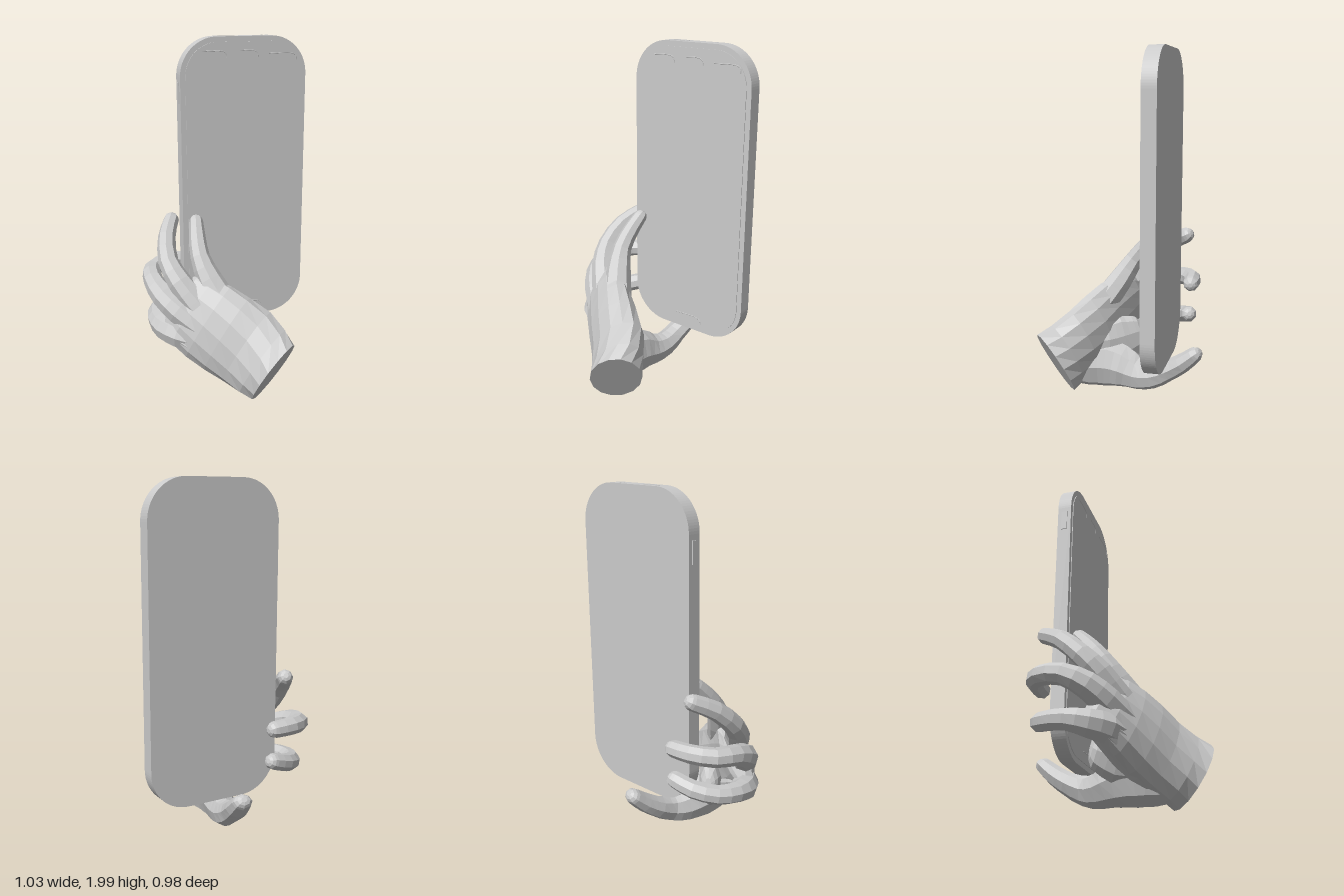
import * as THREE from 'three';

const material = new THREE.MeshStandardMaterial({ color: 0xcccccc, flatShading: true });
const smooth = new THREE.MeshStandardMaterial({ color: 0xcccccc });
const V = (p) => new THREE.Vector3(...p);

function add(group, name, geometry, mat = material) {
  const mesh = new THREE.Mesh(geometry, mat);
  mesh.name = name;
  group.add(mesh);
  return mesh;
}

// Skin over a list of closed rings, with both ends capped
function loft(rings) {
  const n = rings[0].length;
  const pos = [], index = [];
  rings.forEach((r) => r.forEach((p) => pos.push(p.x, p.y, p.z)));
  for (let i = 0; i < rings.length - 1; i++) {
    for (let j = 0; j < n; j++) {
      const a = i * n + j, b = i * n + (j + 1) % n;
      index.push(a, b, b + n, a, b + n, a + n);
    }
  }
  const cap = (row, flip) => {
    const c = new THREE.Vector3();
    rings[row].forEach((p) => c.addScaledVector(p, 1 / n));
    const k = pos.length / 3;
    pos.push(c.x, c.y, c.z);
    for (let j = 0; j < n; j++) {
      const a = row * n + j, b = row * n + (j + 1) % n;
      index.push(k, flip ? b : a, flip ? a : b);
    }
  };
  cap(0, true);
  cap(rings.length - 1, false);
  const g = new THREE.BufferGeometry();
  g.setAttribute('position', new THREE.Float32BufferAttribute(pos, 3));
  g.setIndex(index);
  g.computeVertexNormals();
  return g;
}

// Ring around centre c spanned by two half axes
function ring(c, u, v, sides) {
  return Array.from({ length: sides }, (_, j) => {
    const a = (j / sides) * Math.PI * 2;
    return c.clone().addScaledVector(u, Math.cos(a)).addScaledVector(v, Math.sin(a));
  });
}

// Tapered limb along joints [x, y, z, upward radius, sideways radius] with a rounded tip
function digit(joints, sides = 8) {
  const curve = new THREE.CatmullRomCurve3(joints.map((p) => V(p.slice(0, 3))));
  const last = joints.length - 1, steps = last * 2;
  const ref = new THREE.Vector3(0, 1, 0);
  const rings = [];
  const put = (c, t, ru, rv) => {
    const u = ref.clone().addScaledVector(t, -ref.dot(t)).normalize();
    const v = t.clone().cross(u);
    ref.copy(u);
    rings.push(ring(c, u.multiplyScalar(ru), v.multiplyScalar(rv), sides));
  };
  const radii = joints.map(([, , , ru, rv = ru]) => [ru, rv]);
  for (let i = 0; i <= steps; i++) {
    const k = Math.min(last - 1, Math.floor(i / 2)), f = i / 2 - k;
    const [ru, rv] = [0, 1].map((m) => THREE.MathUtils.lerp(radii[k][m], radii[k + 1][m], f));
    put(curve.getPoint(i / steps), curve.getTangent(i / steps), ru, rv);
  }
  const [ru, rv] = radii[last], end = curve.getPoint(1), dir = curve.getTangent(1);
  for (const [offset, s] of [[0.4, 0.9], [0.75, 0.65], [0.92, 0.3]]) {
    put(end.clone().addScaledVector(dir, Math.min(ru, rv) * offset), dir, ru * s, rv * s);
  }
  return loft(rings);
}

// Rounded rectangle slab in the xy plane
function slab(w, h, radius, depth) {
  const x = w / 2, y = h / 2, s = new THREE.Shape();
  s.absarc(x - radius, y - radius, radius, 0, Math.PI / 2);
  s.absarc(-x + radius, y - radius, radius, Math.PI / 2, Math.PI);
  s.absarc(-x + radius, -y + radius, radius, Math.PI, Math.PI * 1.5);
  s.absarc(x - radius, -y + radius, radius, Math.PI * 1.5, Math.PI * 2);
  return new THREE.ExtrudeGeometry(s, { depth, bevelEnabled: false, curveSegments: 12 });
}

function createPhone() {
  const phone = new THREE.Group();
  phone.name = 'phone';
  add(phone, 'phoneBody', slab(0.77, 1.72, 0.22, 0.08), smooth).position.set(0.13, 1.14, -0.31);
  add(phone, 'screen', slab(0.71, 1.66, 0.19, 0.004), smooth).position.set(0.13, 1.14, -0.23);
  // Slot and round socket on the top edge
  const slot = add(phone, 'topSlot', slab(0.11, 0.012, 0.005, 0.003), smooth);
  slot.rotation.x = -Math.PI / 2;
  slot.position.set(0.035, 1.999, -0.27);
  const socket = add(phone, 'topSocket', new THREE.TorusGeometry(0.012, 0.003, 6, 16), smooth);
  socket.rotation.x = Math.PI / 2;
  socket.position.set(0.25, 1.999, -0.275);
  // Key on the narrow side
  add(phone, 'sideKey', new THREE.BoxGeometry(0.008, 0.12, 0.035), smooth).position.set(-0.256, 1.69, -0.27);
  // Fine hooked ridges on the screen: left end, right end, height
  for (const [x0, x1, y] of [[-0.13, 0.02, 1.92], [0.1, 0.21, 1.92], [0.28, 0.45, 1.9], [0.06, 0.24, 0.37]]) {
    const path = new THREE.CatmullRomCurve3([
      V([x0, y, -0.226]), V([x1 - 0.03, y, -0.226]), V([x1 - 0.005, y - 0.012, -0.226]), V([x1, y - 0.04, -0.226])]);
    add(phone, 'screenRidge', new THREE.TubeGeometry(path, 12, 0.003, 5), smooth);
  }
  return phone;
}

function createHand() {
  const hand = new THREE.Group();
  hand.name = 'hand';

  // Wrist to knuckles: centre, half width axis, half thickness axis
  const sections = [
    [[0.08, 0.19, 0.375], [0.035, 0.175, 0.1], [0.13, 0.05, -0.07]],
    [[0.04, 0.235, 0.315], [0.07, 0.19, 0.075], [0.13, 0.045, -0.08]],
    [[-0.025, 0.3, 0.235], [0.09, 0.205, 0.06], [0.125, 0.04, -0.085]],
    [[-0.12, 0.365, 0.165], [0.1, 0.215, 0.055], [0.105, 0.03, -0.09]],
    [[-0.21, 0.43, 0.105], [0.11, 0.21, 0.045], [0.088, 0.025, -0.08]],
    [[-0.285, 0.485, 0.045], [0.115, 0.19, 0.04], [0.075, 0.02, -0.07]],
    [[-0.335, 0.53, -0.015], [0.105, 0.165, 0.035], [0.06, 0.015, -0.05]],
    [[-0.345, 0.54, -0.035], [0.08, 0.13, 0.025], [0.035, 0.01, -0.03]],
  ];
  add(hand, 'palm', loft(sections.map(([c, u, v]) => ring(V(c), V(u), V(v), 14))));

  const digits = {
    indexFinger: [[-0.07, 0.45, 0.19, 0.075], [-0.125, 0.55, 0.115, 0.083], [-0.18, 0.66, 0.04, 0.074],
      [-0.213, 0.78, -0.035, 0.056], [-0.205, 0.88, -0.115, 0.048], [-0.19, 0.948, -0.18, 0.041]],
    middleFinger: [[-0.19, 0.44, 0.14, 0.075], [-0.27, 0.54, 0.06, 0.08], [-0.345, 0.65, -0.01, 0.07],
      [-0.385, 0.75, -0.1, 0.058], [-0.36, 0.86, -0.22, 0.052], [-0.3, 0.925, -0.335, 0.046]],
    ringFinger: [[-0.25, 0.4, 0.12, 0.075], [-0.36, 0.49, 0.03, 0.08], [-0.43, 0.56, -0.05, 0.072],
      [-0.462, 0.62, -0.17, 0.058], [-0.43, 0.64, -0.3, 0.054], [-0.32, 0.652, -0.372, 0.051],
      [-0.205, 0.65, -0.38, 0.047]],
    littleFinger: [[-0.25, 0.32, 0.1, 0.075], [-0.36, 0.35, 0.035, 0.085], [-0.425, 0.365, -0.045, 0.075],
      [-0.45, 0.385, -0.15, 0.058], [-0.41, 0.4, -0.26, 0.053], [-0.31, 0.43, -0.342, 0.051],
      [-0.205, 0.463, -0.37, 0.047]],
    thumb: [[0.01, 0.17, 0.3, 0.12, 0.09], [-0.035, 0.17, 0.2, 0.145, 0.105], [-0.055, 0.17, 0.1, 0.15, 0.105],
      [-0.055, 0.155, 0, 0.132, 0.105], [-0.03, 0.13, -0.1, 0.1, 0.085], [-0.002, 0.137, -0.19, 0.08, 0.07],
      [0.01, 0.18, -0.285, 0.063, 0.068], [0.032, 0.24, -0.375, 0.055, 0.067], [0.045, 0.3, -0.445, 0.045, 0.058]],
  };
  for (const [name, joints] of Object.entries(digits)) add(hand, name, digit(joints));

  // Flesh between thumb and palm, and along the outer edge
  add(hand, 'thumbWeb', digit([[-0.03, 0.28, 0.22, 0.14, 0.1], [-0.09, 0.28, 0.11, 0.155, 0.1],
    [-0.14, 0.29, 0.02, 0.16, 0.08], [-0.18, 0.31, -0.05, 0.13, 0.06]], 10));
  add(hand, 'heelOfHand', digit([[-0.06, 0.18, 0.24, 0.11], [-0.15, 0.225, 0.15, 0.11],
    [-0.25, 0.285, 0.09, 0.1], [-0.35, 0.345, 0.03, 0.085]]));
  return hand;
}

export function createModel() {
  const model = new THREE.Group();
  model.name = 'handHoldingPhone';
  model.add(createPhone(), createHand());
  return model;
}
